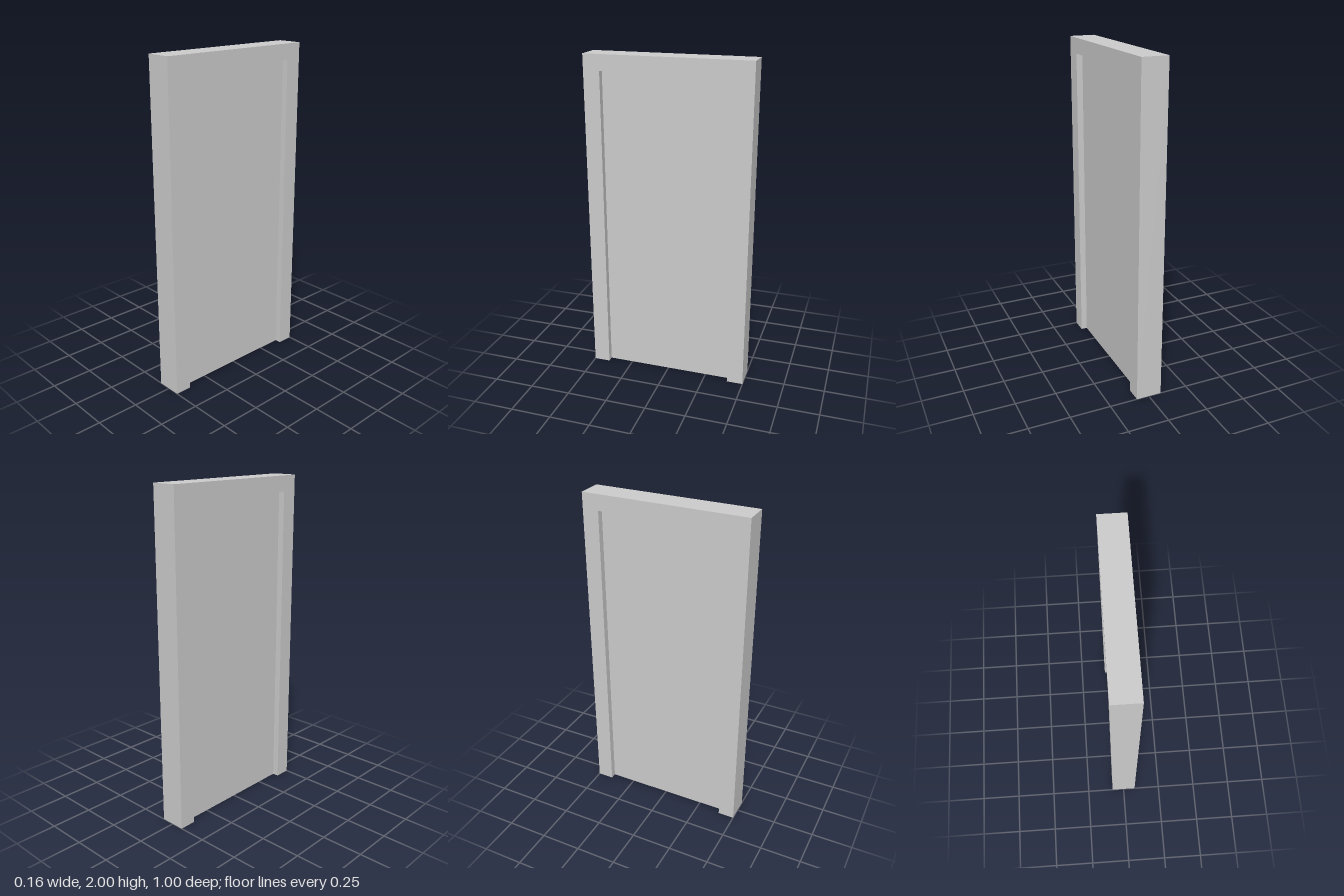
import * as THREE from 'three';

const WIDTH = 1.0, HEIGHT = 2.0, DEPTH = 0.157;
const OPEN_W = 0.8, OPEN_H = 1.905, LEAF_DEPTH = 0.08;

export function createModel() {
  const group = new THREE.Group();
  group.name = 'door';
  const material = new THREE.MeshStandardMaterial({ color: 0xcccccc, flatShading: true });

  // Frame: two jambs and a head as one U-shaped extrusion
  const w = WIDTH / 2, o = OPEN_W / 2;
  const outline = new THREE.Shape([
    [-w, 0], [-o, 0], [-o, OPEN_H], [o, OPEN_H],
    [o, 0], [w, 0], [w, HEIGHT], [-w, HEIGHT],
  ].map(([x, y]) => new THREE.Vector2(x, y)));
  const frameGeometry = new THREE.ExtrudeGeometry(outline, { depth: DEPTH, bevelEnabled: false });
  frameGeometry.translate(0, 0, -DEPTH / 2).rotateY(Math.PI / 2);
  const frame = new THREE.Mesh(frameGeometry, material);
  frame.name = 'doorFrame';
  group.add(frame);

  // Door leaf, recessed equally on both sides
  const leaf = new THREE.Mesh(new THREE.BoxGeometry(LEAF_DEPTH, OPEN_H, OPEN_W), material);
  leaf.name = 'doorLeaf';
  leaf.position.y = OPEN_H / 2;
  group.add(leaf);

  return group;
}
